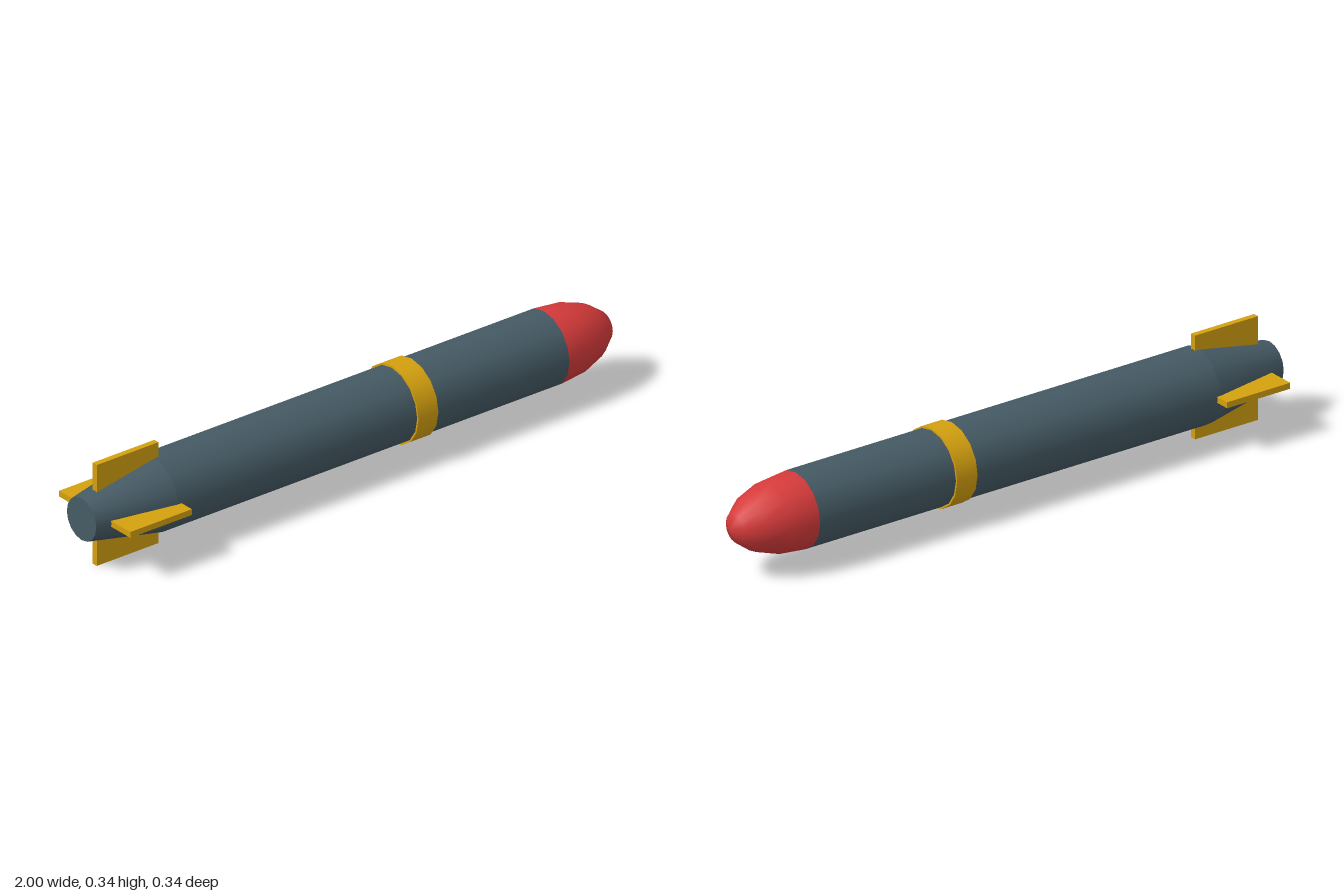
import * as THREE from 'three';

const AXIS_Y = 0.169; // height of the long axis
const SIDES = 16;

export function createModel() {
  const group = new THREE.Group();
  const material = (name, color) => {
    const m = new THREE.MeshStandardMaterial({ color });
    m.name = name;
    return m;
  };
  const slate = material('slate', 0x455a64);
  const red = material('red', 0xd63a3a);
  const yellow = material('yellow', 0xd4a00f);

  const add = (name, geometry, mat) => {
    const mesh = new THREE.Mesh(geometry, mat);
    mesh.name = name;
    mesh.position.y = AXIS_Y;
    group.add(mesh);
    return mesh;
  };

  // Round section lying along x, from x0 (radius r0) to x1 (radius r1)
  const section = (name, x0, x1, r0, r1, mat) => {
    const g = new THREE.CylinderGeometry(r1, r0, x1 - x0, SIDES);
    g.rotateZ(-Math.PI / 2).translate((x0 + x1) / 2, 0, 0);
    return add(name, g, mat);
  };

  section('body', -0.73, 0.757, 0.1215, 0.1215, slate);
  section('tailCone', -1, -0.73, 0.07, 0.1215, slate);
  section('band', 0.178, 0.254, 0.1275, 0.1275, yellow);

  // Stretched half-sphere nose
  const nose = new THREE.SphereGeometry(0.1215, SIDES, 4, 0, Math.PI * 2, 0, Math.PI / 2);
  nose.scale(1, 2, 1).rotateZ(-Math.PI / 2).translate(0.757, 0, 0);
  add('noseCone', nose, red);

  // Four tail fins, radiating from the axis
  for (let i = 0; i < 4; i++) {
    const fin = new THREE.BoxGeometry(0.234, 0.119, 0.0195).translate(-0.833, 0.1095, 0);
    add('tailFin' + (i + 1), fin, yellow).rotation.x = i * Math.PI / 2;
  }

  return group;
}
